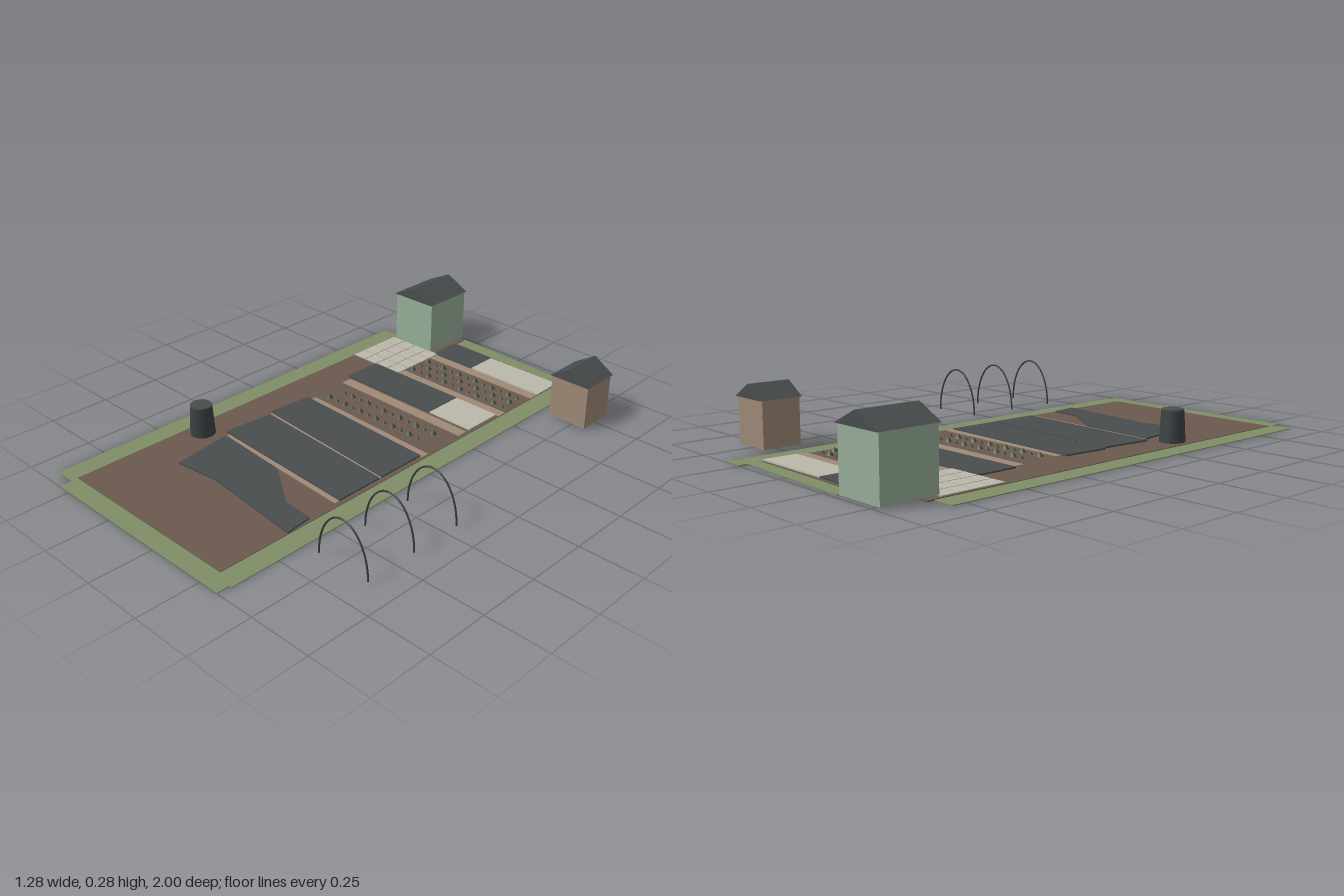
import * as THREE from 'three';

const mat = (name, color) => {
  const m = new THREE.MeshStandardMaterial({ color });
  m.name = name;
  return m;
};

export function createModel() {
  const garden = new THREE.Group();
  garden.name = 'allotmentGarden';

  const grass = mat('grass', 0x7e8d66);
  const soil = mat('soil', 0x6b594e);
  const cover = mat('darkCover', 0x494d4e);
  const bark = mat('tanWood', 0x9e8976);
  const pale = mat('paleStone', 0xbbb8aa);
  const paint = mat('greenPaint', 0x97ae99);
  const leaf = mat('leaf', 0x3f5040);
  const dark = mat('darkPlastic', 0x3c4042);

  const add = (name, geometry, material, x = 0, y = 0, z = 0, parent = garden) => {
    const mesh = new THREE.Mesh(geometry, material);
    mesh.name = name;
    mesh.position.set(x, y, z);
    parent.add(mesh);
    return mesh;
  };

  // Flat plate with an [x, z] outline between two heights
  const plate = (name, material, points, y0, y1) => {
    const shape = new THREE.Shape(points.map(([x, z]) => new THREE.Vector2(x, -z)));
    const geometry = new THREE.ExtrudeGeometry(shape, { depth: y1 - y0, bevelEnabled: false });
    geometry.rotateX(-Math.PI / 2);
    return add(name, geometry, material, 0, y0, 0);
  };
  const rect = (x0, z0, x1, z1) => [[x0, z0], [x1, z0], [x1, z1], [x0, z1]];

  // Ground and grass borders
  plate('soilGround', soil, [[-0.555, 0.925], [0.26, 0.925], [0.26, -0.91], [-0.305, -0.922],
    [-0.305, -0.97], [-0.33, -0.97], [-0.33, -0.83], [-0.555, -0.83]], 0, 0.005);
  plate('leftGrass', grass, rect(0.26, -1, 0.345, 0.95), 0, 0.003);
  plate('rightGrass', grass, rect(-0.64, -0.805, -0.555, 0.95), 0, 0.003);
  plate('frontGrass', grass, [[-0.555, 0.925], [0.26, 0.925], [0.26, 0.95], [0.335, 0.95],
    [0.335, 1], [-0.555, 1]], 0, 0.003);
  plate('backGrass', grass, [[-0.304, -0.984], [0.26, -0.963], [0.26, -0.905], [-0.304, -0.92]], 0, 0.003);

  // Bark paths between the beds
  const paths = [
    rect(-0.288, -0.767, 0.26, -0.724),
    rect(-0.288, -0.554, 0.26, -0.512),
    [[-0.4, -0.332], [0.246, -0.326], [0.246, -0.279], [-0.4, -0.285]],
    [[-0.384, -0.114], [0.251, -0.093], [0.251, -0.06], [-0.384, -0.082]],
    [[-0.42, 0.1], [0.241, 0.151], [0.241, 0.165], [-0.4, 0.122]],
    [[-0.4, 0.335], [0.241, 0.368], [0.241, 0.39], [-0.4, 0.355]],
  ];
  paths.forEach((p) => plate('path', bark, p, 0.005, 0.007));

  // Beds under dark covers and pale mulch
  const covers = [
    rect(-0.304, -0.905, -0.093, -0.77),
    rect(-0.42, -0.512, 0.04, -0.342),
    [[-0.405, -0.087], [0.241, -0.061], [0.241, 0.151], [-0.42, 0.103]],
    [[-0.405, 0.119], [0.241, 0.162], [0.241, 0.368], [-0.425, 0.331]],
    [[-0.4, 0.353], [-0.071, 0.379], [0.114, 0.507], [0.246, 0.517], [0.257, 0.629],
      [-0.183, 0.586], [-0.368, 0.607]],
  ];
  covers.forEach((p) => plate('bedCover', cover, p, 0.005, 0.011));
  plate('backMulch', pale, rect(-0.093, -0.905, 0.26, -0.77), 0.005, 0.01);
  plate('middleMulch', pale, rect(0.04, -0.512, 0.246, -0.342), 0.005, 0.01);

  // Paved terrace with tan joints
  plate('terraceBase', bark, rect(-0.553, -0.775, -0.288, -0.512), 0.005, 0.008);
  const step = 0.0662;
  const slab = new THREE.BoxGeometry(step - 0.004, 0.003, step - 0.004);
  for (let i = 0; i < 4; i++) {
    for (let j = 0; j < 4; j++) {
      add('pavingSlab', slab, pale, -0.553 + (i + 0.5) * step, 0.0085, -0.775 + (j + 0.5) * step);
    }
  }

  // Rows of large and small plants
  const bigPlant = new THREE.ConeGeometry(0.014, 0.018, 7);
  const smallPlant = new THREE.ConeGeometry(0.009, 0.012, 6);
  const plantRow = (x0, z, phase) => {
    for (let i = 0; i < 12; i++) {
      const big = (i + phase) % 2 === 0;
      add('plant', big ? bigPlant : smallPlant, leaf, x0 + i * 0.0442, big ? 0.014 : 0.011, z);
    }
  };
  plantRow(-0.268, -0.685, 0);
  plantRow(-0.268, -0.637, 1);
  plantRow(-0.268, -0.586, 0);
  plantRow(-0.322, -0.223, 1);
  plantRow(-0.342, -0.154, 0);

  // Sheds with solid gable roofs
  const shed = (name, wall, x, z, w, d, eave, ridge) => {
    const group = new THREE.Group();
    group.name = name;
    group.position.set(x, 0, z);
    garden.add(group);
    add('walls', new THREE.BoxGeometry(w, eave - 0.008, d), wall, 0, (eave + 0.008) / 2, 0, group);
    const hw = w / 2 + 0.005;
    const gable = new THREE.Shape([
      new THREE.Vector2(-hw, eave), new THREE.Vector2(hw, eave), new THREE.Vector2(0, ridge)]);
    const depth = d + 0.018;
    add('roof', new THREE.ExtrudeGeometry(gable, { depth, bevelEnabled: false }), cover,
      0, 0, -depth / 2, group);
  };
  shed('greenShed', paint, -0.432, -0.88, 0.207, 0.222, 0.232, 0.285);
  shed('tanShed', bark, 0.48, -0.742, 0.167, 0.155, 0.187, 0.241);

  // Compost bin with a lid
  add('compostBin', new THREE.CylinderGeometry(0.043, 0.05, 0.119, 24), dark, -0.49, 0.0655, 0.395);
  add('binLid', new THREE.CylinderGeometry(0.042, 0.042, 0.006, 24), cover, -0.49, 0.127, 0.395);

  // Tunnel hoops
  const arc = [];
  for (let i = 0; i <= 20; i++) {
    const a = (i / 20) * Math.PI;
    arc.push(new THREE.Vector3(0.112 * Math.cos(a), 0.008 + 0.183 * Math.sin(a), 0));
  }
  const hoop = new THREE.TubeGeometry(new THREE.CatmullRomCurve3(arc), 40, 0.0035, 6);
  [0.2, 0.415, 0.633].forEach((z) => add('tunnelHoop', hoop, dark, 0.525, 0, z));

  return garden;
}
